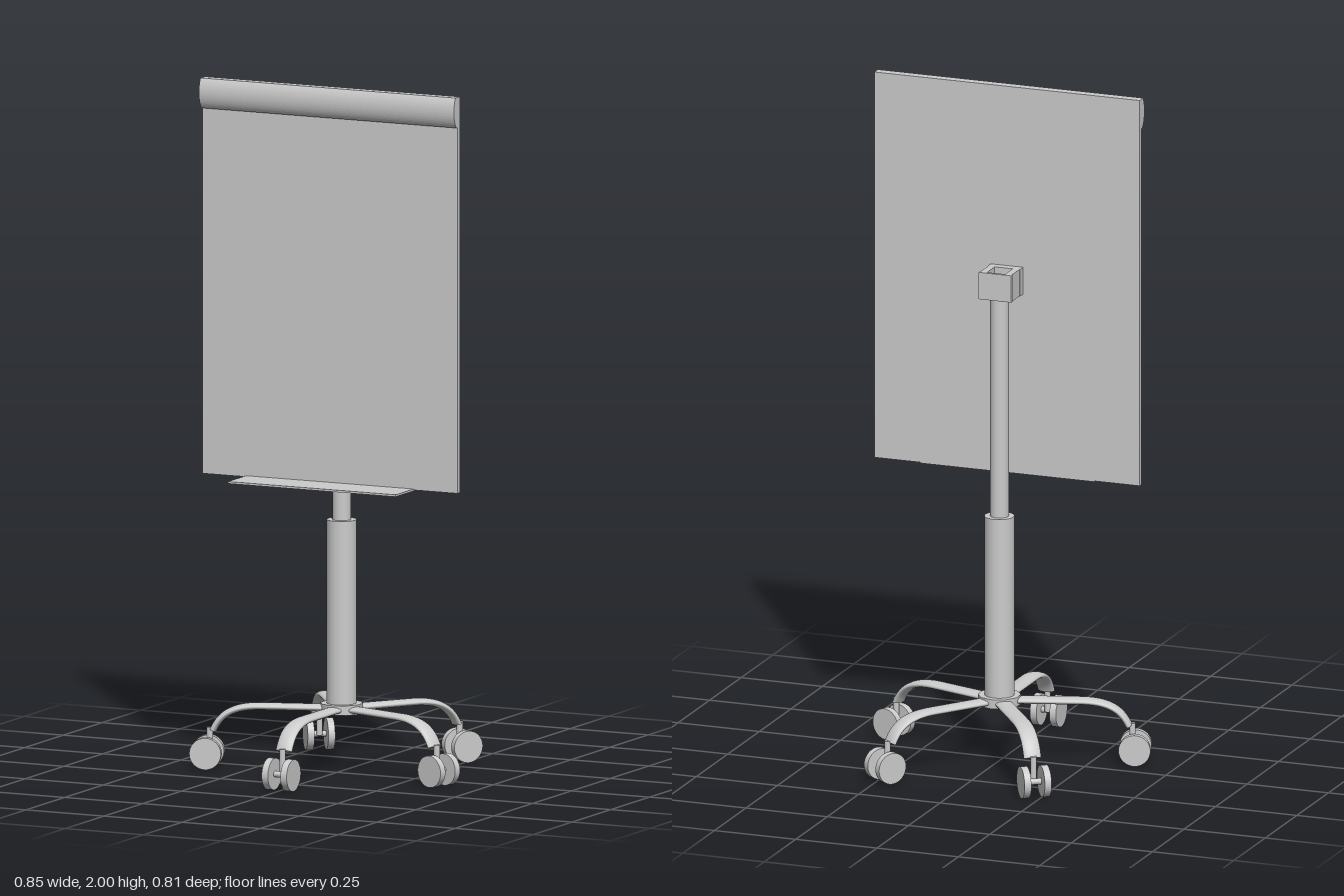
import * as THREE from 'three';

const material = new THREE.MeshStandardMaterial({ color: 0xcccccc, side: THREE.DoubleSide });
const POLE_Z = -0.03;

function add(parent, name, geometry, x = 0, y = 0, z = 0) {
  const mesh = new THREE.Mesh(geometry, material);
  mesh.name = name;
  mesh.position.set(x, y, z);
  parent.add(mesh);
  return mesh;
}

// Box given by its minimum and maximum corners
function addBox(parent, name, [x0, y0, z0], [x1, y1, z1]) {
  return add(parent, name, new THREE.BoxGeometry(x1 - x0, y1 - y0, z1 - z0),
    (x0 + x1) / 2, (y0 + y1) / 2, (z0 + z1) / 2);
}

// Upright cylinder between two heights
function addPost(parent, name, radius, y0, y1, sides = 32) {
  return add(parent, name, new THREE.CylinderGeometry(radius, radius, y1 - y0, sides), 0, (y0 + y1) / 2, 0);
}

// One leg running out along +z, with its twin-wheel caster
function createLeg() {
  const leg = new THREE.Group();
  const path = new THREE.CurvePath();
  const v = (y, z) => new THREE.Vector3(0, y, z);
  path.add(new THREE.LineCurve3(v(0.187, 0.02), v(0.187, 0.23)));
  path.add(new THREE.CubicBezierCurve3(v(0.187, 0.23), v(0.187, 0.31), v(0.165, 0.35), v(0.115, 0.372)));
  // Flattened oval tube
  const width = 2.6;
  add(leg, 'legTube', new THREE.TubeGeometry(path, 40, 0.01, 20)).scale.x = width;
  const cap = add(leg, 'legEndCap', new THREE.CircleGeometry(0.01, 20), 0, 0.115, 0.372);
  cap.scale.x = width;
  cap.lookAt(cap.position.clone().add(path.getTangent(1)));

  const caster = new THREE.Group();
  caster.name = 'caster';
  caster.position.set(0, 0.05, 0.39);
  leg.add(caster);
  add(caster, 'casterStem', new THREE.CylinderGeometry(0.009, 0.009, 0.075, 16), 0, 0.035, -0.008);
  add(caster, 'casterAxle', new THREE.CylinderGeometry(0.009, 0.009, 0.05, 16)).rotation.z = Math.PI / 2;
  for (const side of [-1, 1]) {
    add(caster, 'casterWheel', new THREE.CylinderGeometry(0.046, 0.046, 0.02, 32), side * 0.03, 0, 0)
      .rotation.z = Math.PI / 2;
  }
  return leg;
}

export function createModel() {
  const model = new THREE.Group();
  model.name = 'flipChartStand';

  // Rolling base with five legs
  const stand = new THREE.Group();
  stand.name = 'stand';
  stand.position.z = POLE_Z;
  model.add(stand);
  addPost(stand, 'hub', 0.062, 0.174, 0.202, 10).rotation.y = Math.PI;
  for (let i = 0; i < 5; i++) {
    const leg = createLeg();
    leg.name = 'leg';
    leg.rotation.y = (i * Math.PI * 2) / 5;
    stand.add(leg);
  }

  // Telescopic column
  addPost(stand, 'outerColumn', 0.043, 0.2, 0.735);
  addPost(stand, 'innerColumn', 0.027, 0.72, 1.445);

  // Bracket: a square collar round the column and a plate on the board
  const bracket = new THREE.Group();
  bracket.name = 'bracket';
  model.add(bracket);
  addBox(bracket, 'bracketPlate', [-0.05, 1.385, 0.005], [0.05, 1.465, 0.031]);
  addBox(bracket, 'bracketBack', [-0.05, 1.385, -0.065], [0.05, 1.465, -0.055]);
  for (const side of [-1, 1]) {
    addBox(bracket, 'bracketSide', [side * 0.038 - 0.01, 1.385, -0.056], [side * 0.038 + 0.01, 1.465, 0.006]);
  }

  // Writing board and pen tray
  addBox(model, 'board', [-0.408, 0.85, 0.03], [0.408, 2, 0.046]);
  addBox(model, 'penTray', [-0.268, 0.847, 0.032], [0.268, 0.853, 0.162]);

  // Bulging paper clamp across the top
  const profile = new THREE.Shape();
  profile.moveTo(-0.044, 2);
  profile.lineTo(-0.058, 2);
  profile.bezierCurveTo(-0.073, 1.975, -0.073, 1.935, -0.052, 1.912);
  profile.lineTo(-0.044, 1.912);
  profile.closePath();
  const clamp = new THREE.ExtrudeGeometry(profile, { depth: 0.816, bevelEnabled: false, curveSegments: 16 });
  clamp.translate(0, 0, -0.408).rotateY(Math.PI / 2);
  add(model, 'paperClamp', clamp);

  return model;
}
